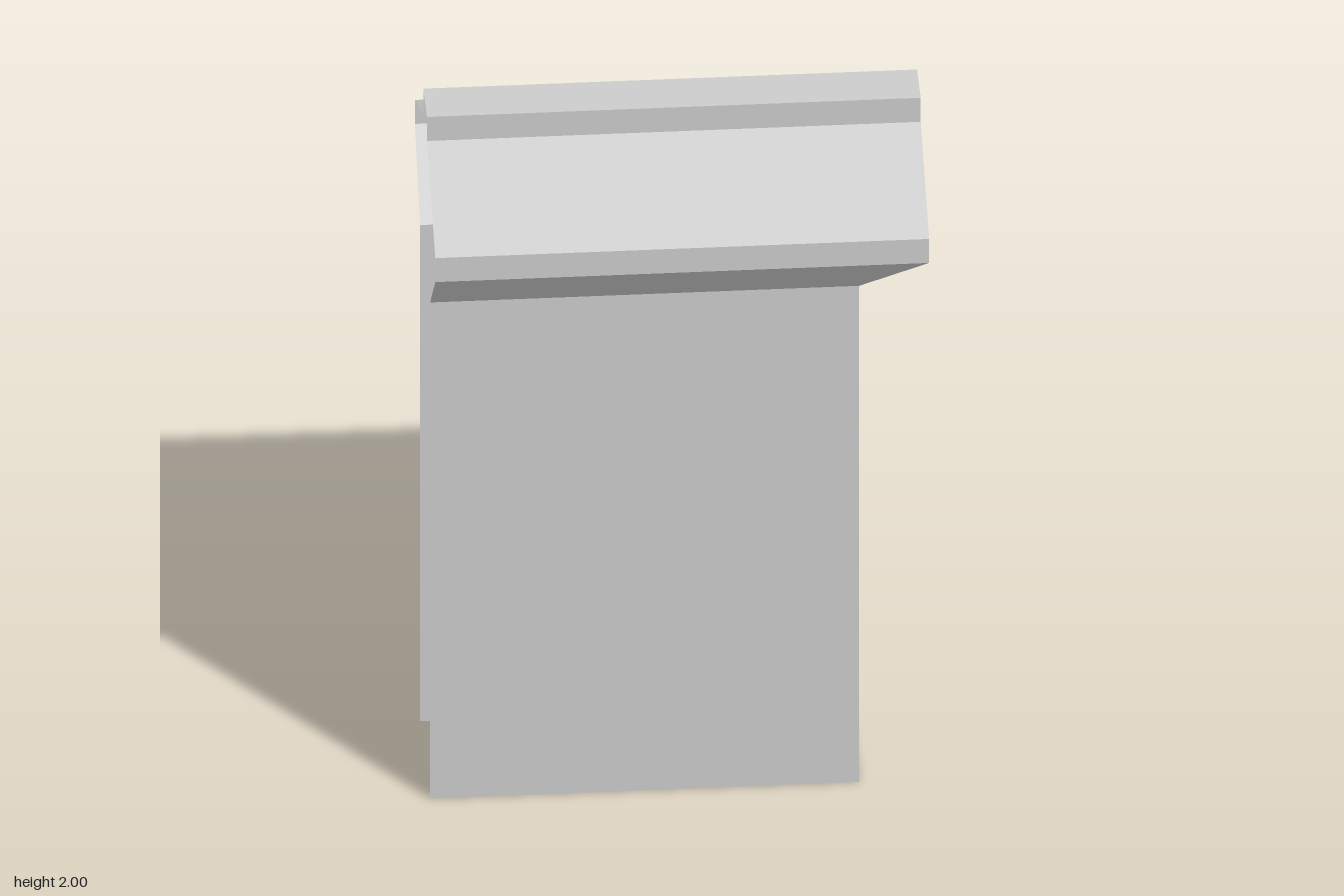
import * as THREE from 'three';

const X_OPEN = -0.63; // the shell is open at this end and underneath

// Levels from the ground up: height, half depth, x of the closed end
const LEVELS = [
  [0, 0.18, 0.465],
  [1.51, 0.18, 0.465],
  [1.695, 0.368, 0.63],
  [1.768, 0.368, 0.63],
  [1.927, 0.066, 0.63],
  [2, 0.066, 0.63],
];
const NAMES = ['wall', 'corbel', 'fascia', 'slopedCap', 'ridge'];

// Flat-shaded surface from quads with corners counter-clockwise from outside
function quads(list) {
  const points = list.flatMap(([a, b, c, d]) => [a, b, c, a, c, d]);
  const geometry = new THREE.BufferGeometry();
  geometry.setAttribute('position', new THREE.Float32BufferAttribute(points.flat(), 3));
  geometry.computeVertexNormals();
  return geometry;
}

// Outline at a level: open front, closed front, closed back, open back
function outline([y, z, x]) {
  return [[X_OPEN, y, z], [x, y, z], [x, y, -z], [X_OPEN, y, -z]];
}

export function createModel() {
  const group = new THREE.Group();
  const stone = new THREE.MeshStandardMaterial({ color: 0xcccccc, side: THREE.DoubleSide });
  stone.name = 'grey stone';

  const add = (name, list) => {
    const mesh = new THREE.Mesh(quads(list), stone);
    mesh.name = name;
    group.add(mesh);
  };

  // Front, end and back faces of each band
  NAMES.forEach((name, i) => {
    const low = outline(LEVELS[i]);
    const high = outline(LEVELS[i + 1]);
    add(name, [0, 1, 2].map((k) => [low[k], low[k + 1], high[k + 1], high[k]]));
  });

  // Flat top of the ridge
  add('ridgeTop', [outline(LEVELS[LEVELS.length - 1])]);

  return group;
}
